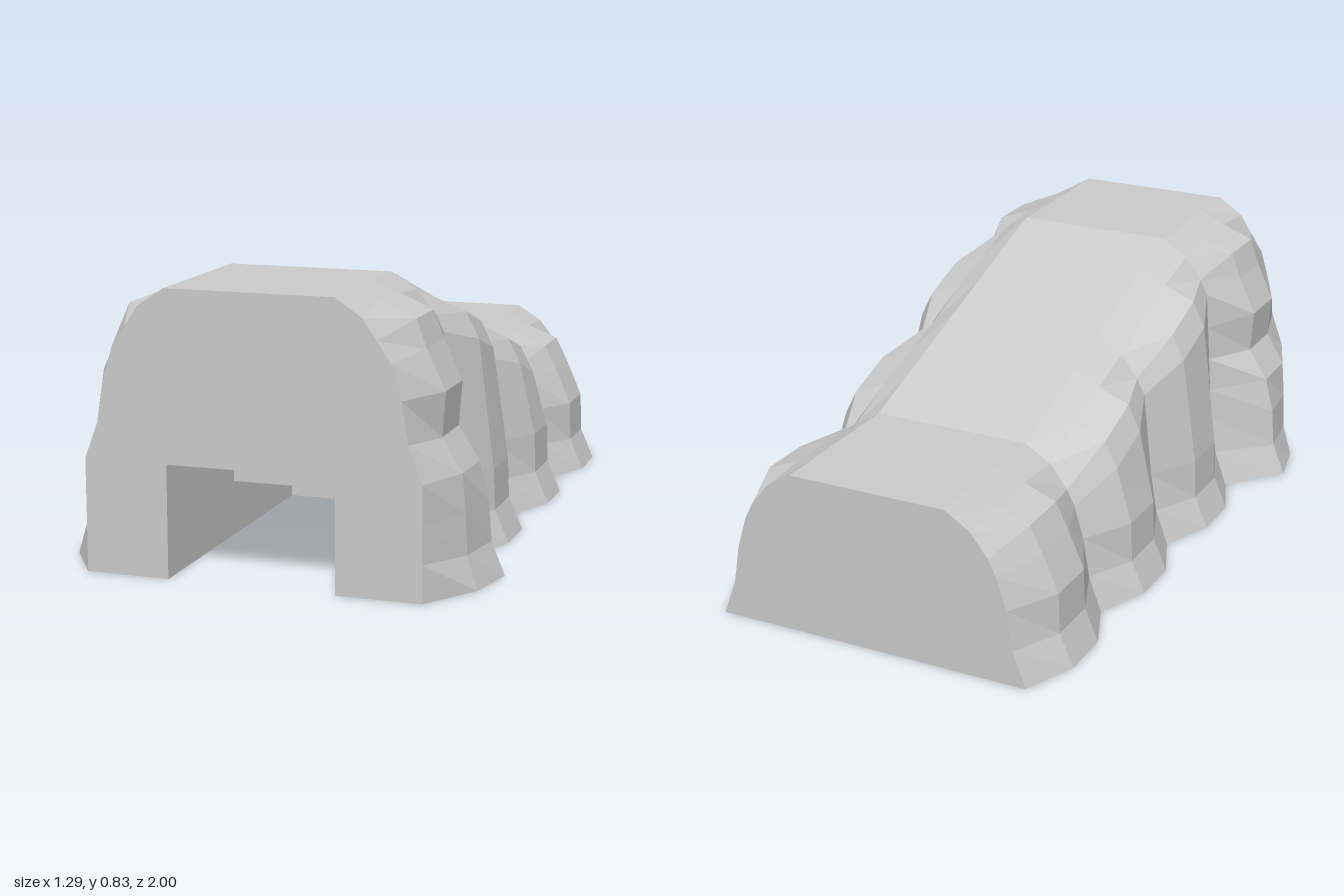
import * as THREE from 'three';

const TUNNEL = 0.25, DOOR = 0.333, STEP = 0.167;
const material = new THREE.MeshStandardMaterial({ color: 0xcccccc, flatShading: true });

// Roof height: tall at the front, sloping down to a low back
const roof = z => THREE.MathUtils.clamp(0.667 + z / 3, 0.5, 0.833);

// Half cross-sections, listed from the ground up to the roof edge
const pinch = z => {
  const h = roof(z);
  return { z, pts: [[0.5, 0], [0.46, 0.11], [0.44, 0.23], [0.41, h - 0.17], [0.385, h - 0.12], [0.33, h - 0.05], [0.25, h]] };
};
const bulge = z => {
  const h = roof(z);
  return { z, pts: [[0.568, 0], [0.525, 0.1], [0.52, 0.225], [0.47, h - 0.16], [0.43, h - 0.08], [0.33, h - 0.04], [0.25, h]] };
};

// Front section cross-sections, with extra rows for the flared legs
const frontUpper = [[0.505, 0.43], [0.515, 0.56], [0.46, 0.675], [0.43, 0.758], [0.33, 0.798], [0.25, 0.833]];
const frontRings = [
  { z: 1, pts: [[0.5, 0], [0.5, 0.11], [0.5, 0.22], [0.5, DOOR], [0.46, 0.44], [0.44, 0.56], [0.41, 0.66], [0.37, 0.72], [0.33, 0.78], [0.25, 0.833]] },
  { z: 0.833, pts: [[0.61, 0], [0.58, 0.1], [0.575, 0.22], [0.565, DOOR], ...frontUpper] },
  { z: 0.667, pts: [[0.645, 0], [0.605, 0.1], [0.595, 0.22], [0.568, DOOR], ...frontUpper] },
  { z: 0.5, pts: [[0.5, 0], [0.46, 0.11], [0.44, 0.23], [0.433, 0.33], [0.425, 0.44], [0.417, 0.55], [0.41, 0.663], [0.385, 0.713], [0.33, 0.783], [0.25, 0.833]] },
];

// Three repeating ribs from the middle to the back
const ribRings = [pinch(0.5)];
for (let z = 0.5; z > -1; z -= 0.5) {
  ribRings.push(bulge(z - 1 / 6), bulge(z - 1 / 3), pinch(z - 0.5));
}

const mirror = pts => [...pts, ...pts.map(([x, y]) => [-x, y]).reverse()];

// Skin stretched over mirrored cross-sections, running from front to back
function loft(rings) {
  const pos = [], index = [], n = rings[0].pts.length * 2;
  rings.forEach(({ z, pts }, i) => {
    mirror(pts).forEach(([x, y], j) => {
      pos.push(x, y, z);
      if (i === rings.length - 1 || j === n - 1) return;
      const a = i * n + j, b = a + n;
      index.push(a, b, a + 1, b, b + 1, a + 1);
    });
  });
  const geo = new THREE.BufferGeometry();
  geo.setAttribute('position', new THREE.Float32BufferAttribute(pos, 3));
  geo.setIndex(index);
  geo.computeVertexNormals();
  return geo;
}

const flat = pts => new THREE.ShapeGeometry(new THREE.Shape(pts.map(p => new THREE.Vector2(...p))));

export function createModel() {
  const group = new THREE.Group();
  const add = (name, geo, parent = group) => {
    const mesh = new THREE.Mesh(geo, material);
    mesh.name = name;
    parent.add(mesh);
  };

  add('frontShell', loft(frontRings));
  add('ribbedShell', loft(ribRings));

  // End walls; the front one is cut by the doorway
  const doorway = [[-TUNNEL, 0], [-TUNNEL, DOOR], [TUNNEL, DOOR], [TUNNEL, 0]];
  add('frontWall', flat([...mirror(frontRings[0].pts), ...doorway]).translate(0, 0, 1));
  add('backWall', flat(mirror(pinch(-1).pts)).rotateY(Math.PI).translate(0, 0, -1));

  // Underside with the tunnel slot cut out
  const side = [...frontRings, ...ribRings.slice(1)].map(r => [r.pts[0][0], r.z]);
  const slot = [[-TUNNEL, 1], [-TUNNEL, 0], [TUNNEL, 0], [TUNNEL, 1]];
  add('underside', flat([...mirror(side), ...slot]).rotateX(Math.PI / 2));

  // Stepped tunnel behind the doorway
  const tunnel = new THREE.Group();
  tunnel.name = 'tunnel';
  group.add(tunnel);
  const profile = [[0, 0], [1, 0], [1, DOOR], [0.5, DOOR], [0.5, STEP], [0, STEP]];
  add('tunnelLeftWall', flat(profile).rotateY(-Math.PI / 2).translate(TUNNEL, 0, 0), tunnel);
  add('tunnelRightWall', flat(profile.map(([z, y]) => [-z, y])).rotateY(Math.PI / 2).translate(-TUNNEL, 0, 0), tunnel);
  const panel = h => new THREE.PlaneGeometry(2 * TUNNEL, h);
  add('highCeiling', panel(0.5).rotateX(Math.PI / 2).translate(0, DOOR, 0.75), tunnel);
  add('lowCeiling', panel(0.5).rotateX(Math.PI / 2).translate(0, STEP, 0.25), tunnel);
  add('ceilingStep', panel(DOOR - STEP).translate(0, (DOOR + STEP) / 2, 0.5), tunnel);
  add('tunnelEnd', panel(STEP).translate(0, STEP / 2, 0), tunnel);

  return group;
}
